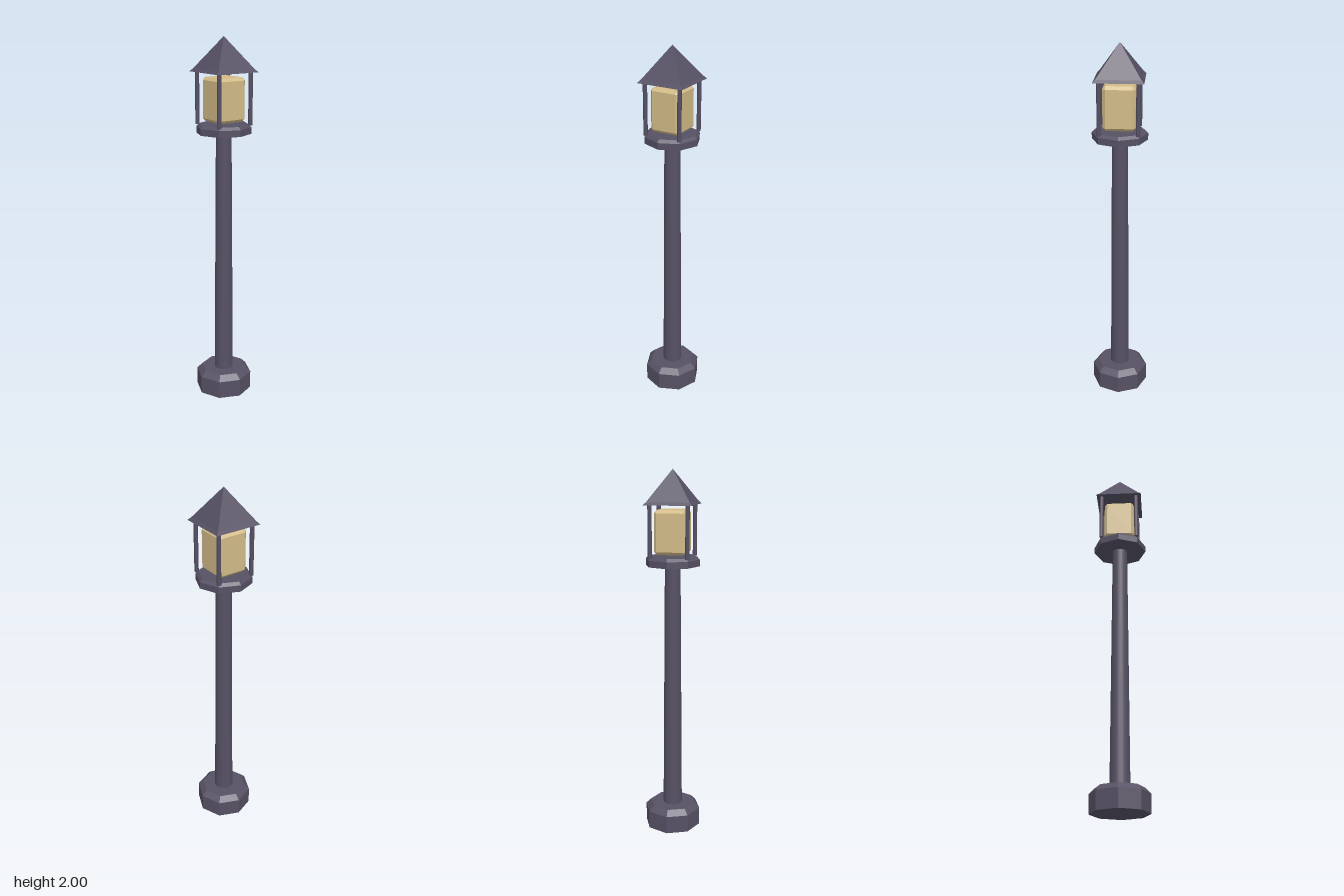
import * as THREE from 'three';
import { ConvexGeometry } from 'three/addons/geometries/ConvexGeometry.js';

const iron = new THREE.MeshStandardMaterial({ name: 'dark iron', color: 0x565164 });
const glow = new THREE.MeshStandardMaterial({ name: 'warm glass', color: 0xd2bb88 });

export function createModel() {
  const model = new THREE.Group();
  model.name = 'streetLamp';

  const add = (name, geometry, material, x = 0, y = 0, z = 0) => {
    const mesh = new THREE.Mesh(geometry, material);
    mesh.name = name;
    mesh.position.set(x, y, z);
    model.add(mesh);
  };

  // Faceted solid from [radius, height] rings, with flat faces
  const faceted = (profile, sides, turn = 0) => {
    const points = profile.map(([r, y]) => new THREE.Vector2(r, y));
    const geometry = new THREE.LatheGeometry(points, sides, turn).toNonIndexed();
    geometry.computeVertexNormals();
    return geometry;
  };

  // Octagonal foot with a chamfered top
  add('base', faceted([[0, 0], [0.157, 0], [0.157, 0.1], [0.127, 0.13], [0, 0.13]], 8), iron);

  // Tapering round post
  add('post', new THREE.CylinderGeometry(0.042, 0.053, 1.38, 24), iron, 0, 0.815);

  // Octagonal lantern floor
  add('platform', faceted([[0, 1.5], [0.148, 1.5], [0.148, 1.535], [0.133, 1.55], [0, 1.55]], 8), iron);

  // Corner bars
  for (const x of [-0.1, 0.1]) {
    for (const z of [-0.1, 0.1]) {
      add('cornerBar', new THREE.CylinderGeometry(0.0115, 0.0115, 0.285, 8), iron, x, 1.6875, z);
    }
  }

  // Chamfered glowing box
  const half = [0.085, 0.116, 0.085];
  const bevel = 0.016;
  const corners = [];
  for (const sx of [-1, 1]) for (const sy of [-1, 1]) for (const sz of [-1, 1]) {
    for (let full = 0; full < 3; full++) {
      const [x, y, z] = half.map((h, axis) => (axis === full ? h : h - bevel));
      corners.push(new THREE.Vector3(sx * x, sy * y, sz * z));
    }
  }
  add('lampGlass', new ConvexGeometry(corners), glow, 0, 1.678);

  // Square roof with slightly flared eaves
  const d = Math.SQRT2;
  add('roof', faceted([[0, 1.82], [0.129 * d, 1.82], [0.115 * d, 1.835], [0, 2]], 4, Math.PI / 4), iron);

  return model;
}
